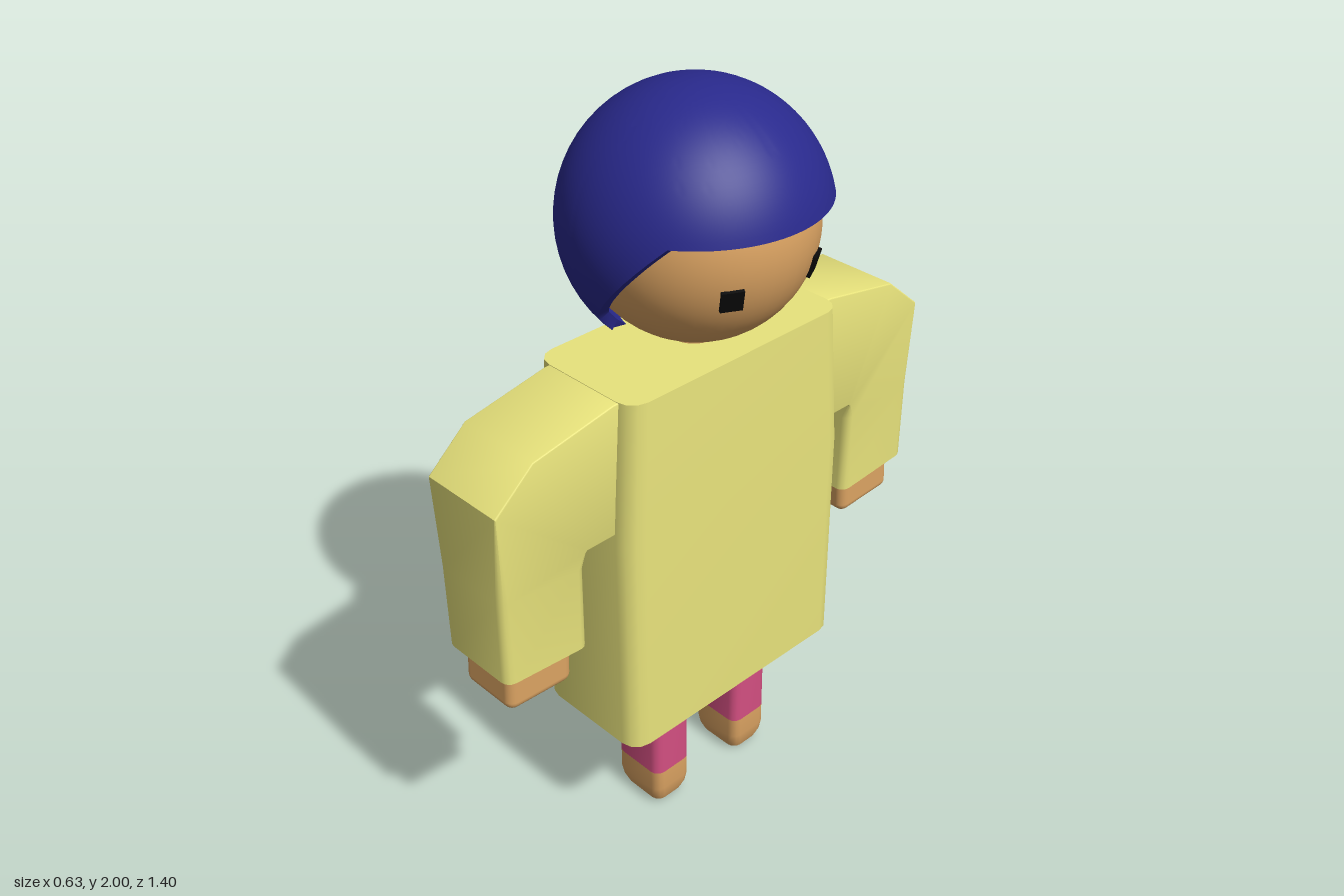
import * as THREE from 'three';
import { toCreasedNormals } from 'three/addons/utils/BufferGeometryUtils.js';
import { RoundedBoxGeometry } from 'three/addons/geometries/RoundedBoxGeometry.js';
import { ParametricGeometry } from 'three/addons/geometries/ParametricGeometry.js';

const V = (x, y, z) => new THREE.Vector3(x, y, z);
const paint = (color) => new THREE.MeshStandardMaterial({ color });

// Rounded-rectangle cross-section: centre c, half-axes u and v, corner radius r
function ring(c, u, v, r, segs = 3) {
  const hu = u.length(), hv = v.length();
  const un = u.clone().normalize(), vn = v.clone().normalize();
  const pts = [];
  [[1, 1], [-1, 1], [-1, -1], [1, -1]].forEach(([su, sv], k) => {
    for (let i = 0; i <= segs; i++) {
      const a = (k + i / segs) * Math.PI / 2;
      pts.push(c.clone()
        .addScaledVector(un, su * (hu - r) + r * Math.cos(a))
        .addScaledVector(vn, sv * (hv - r) + r * Math.sin(a)));
    }
  });
  return pts;
}

// Horizontal section at height y
const level = (y, hx, hz, r, segs) => ring(V(0, y, 0), V(0, 0, hz), V(hx, 0, 0), r, segs);

// Capped skin through a list of cross-sections
function loft(rings) {
  const n = rings[0].length, pos = [];
  const tri = (...ps) => ps.forEach((p) => pos.push(p.x, p.y, p.z));
  for (let k = 0; k < rings.length - 1; k++) {
    for (let i = 0; i < n; i++) {
      const j = (i + 1) % n, a = rings[k], b = rings[k + 1];
      tri(a[i], a[j], b[j]);
      tri(a[i], b[j], b[i]);
    }
  }
  const first = rings[0], last = rings[rings.length - 1];
  for (let i = 1; i < n - 1; i++) {
    tri(first[0], first[i + 1], first[i]);
    tri(last[0], last[i], last[i + 1]);
  }
  const g = new THREE.BufferGeometry();
  g.setAttribute('position', new THREE.Float32BufferAttribute(pos, 3));
  return toCreasedNormals(g, 0.6);
}

// Lower edge of the hair: fringe, slanted side, low nape
function hemHeight(x) {
  if (x > 0.18) return 0.065;
  if (x > -0.045) return -0.18 + (x + 0.045) / 0.225 * 0.245;
  return -0.23;
}

// Spherical hair shell trimmed along the hem
function hairGeometry(outer, inner) {
  const rows = 24, stacks = rows * 2 + 1;
  const point = (r, phi, th) =>
    V(r * Math.sin(th) * Math.cos(phi), r * Math.cos(th), r * Math.sin(th) * Math.sin(phi));
  const cache = new Map();
  const hemAngle = (r, phi) => {
    const key = r + ':' + phi;
    if (!cache.has(key)) {
      let th = 0.5;
      while (th < 3) {
        const p = point(r, phi, th);
        if (p.y < hemHeight(p.x)) break;
        th += 0.002;
      }
      cache.set(key, th);
    }
    return cache.get(key);
  };
  const g = new ParametricGeometry((u, v, target) => {
    const k = v * stacks, phi = u * Math.PI * 2;
    const out = k < rows + 0.5;
    const r = out ? outer : inner;
    const t = out ? k / rows : (stacks - k) / rows;
    target.copy(point(r, phi, hemAngle(r, phi) * t));
  }, 144, stacks);
  return toCreasedNormals(g, 0.6);
}

export function createModel() {
  const model = new THREE.Group();
  model.name = 'figure';
  const skin = paint(0xdba362), coatMat = paint(0xe8e37c), pink = paint(0xd34f81);
  const hairMat = paint(0x29298c), black = paint(0x0a0a0a);
  hairMat.side = THREE.DoubleSide;
  const add = (parent, name, geo, mat, x = 0, y = 0, z = 0) => {
    const m = new THREE.Mesh(geo, mat);
    m.name = name;
    m.position.set(x, y, z);
    parent.add(m);
    return m;
  };

  // Head, hair and neck
  const headY = 1.68, headR = 0.285;
  add(model, 'head', new THREE.SphereGeometry(headR, 48, 32), skin, 0.003, headY, 0);
  add(model, 'hair', hairGeometry(0.32, 0.293), hairMat, 0, headY, 0);
  add(model, 'neck', new THREE.CylinderGeometry(0.06, 0.06, 0.12, 20), skin, -0.005, 1.38, 0);

  // Eyes, turned to lie on the face
  for (const s of [1, -1]) {
    const dir = V(0.242, -0.075, 0.13 * s).normalize();
    const eye = add(model, s > 0 ? 'leftEye' : 'rightEye',
      new THREE.BoxGeometry(0.052, 0.054, 0.012), black);
    eye.position.copy(dir).multiplyScalar(headR).add(V(0.003, headY, 0));
    eye.lookAt(eye.position.clone().add(dir));
  }

  // Coat body
  add(model, 'coat', loft([
    level(0.38, 0.174, 0.369, 0.05),
    level(1.0, 0.174, 0.369, 0.05),
    level(1.38, 0.165, 0.345, 0.05),
  ]), coatMat, -0.01);

  // Sleeve sections: outer (z, y), inner (z, y), half width, corner radius
  const sleeve = loft([
    [0.32, 1.38, 0.32, 1.03, 0.118, 0.003],
    [0.36, 1.378, 0.36, 1.03, 0.118, 0.003],
    [0.59, 1.335, 0.45, 1.03, 0.118, 0.003],
    [0.70, 1.24, 0.455, 1.025, 0.118, 0.004],
    [0.70, 1.0, 0.455, 0.98, 0.113, 0.02],
    [0.70, 0.768, 0.455, 0.75, 0.113, 0.024],
  ].map(([oz, oy, iz, iy, w, r]) => ring(
    V(0, (oy + iy) / 2, (oz + iz) / 2), V(w, 0, 0),
    V(0, (oy - iy) / 2, (oz - iz) / 2), r)));

  const leg = loft([level(0.12, 0.08, 0.0625, 0.025), level(0.42, 0.08, 0.0625, 0.025)]);
  const foot = loft([
    level(0, 0.055, 0.038, 0.02),
    level(0.008, 0.068, 0.05, 0.025),
    level(0.03, 0.076, 0.058, 0.025),
    level(0.06, 0.08, 0.0625, 0.025),
    level(0.12, 0.08, 0.0625, 0.025),
  ]);

  // Arms and legs, the right side turned half way round
  for (const s of [1, -1]) {
    const side = s > 0 ? 'left' : 'right';
    const arm = new THREE.Group();
    arm.name = side + 'Arm';
    arm.position.x = -0.0075;
    if (s < 0) arm.rotation.y = Math.PI;
    add(arm, side + 'Sleeve', sleeve, coatMat);
    const hand = add(arm, side + 'Hand',
      new RoundedBoxGeometry(0.175, 0.2, 0.192, 3, 0.024), skin, 0, 0.75, 0.579);
    hand.rotation.x = -0.05;
    model.add(arm);

    add(model, side + 'Leg', leg, pink, -0.01, 0, 0.148 * s);
    add(model, side + 'Foot', foot, skin, -0.01, 0, 0.148 * s);
  }
  return model;
}
